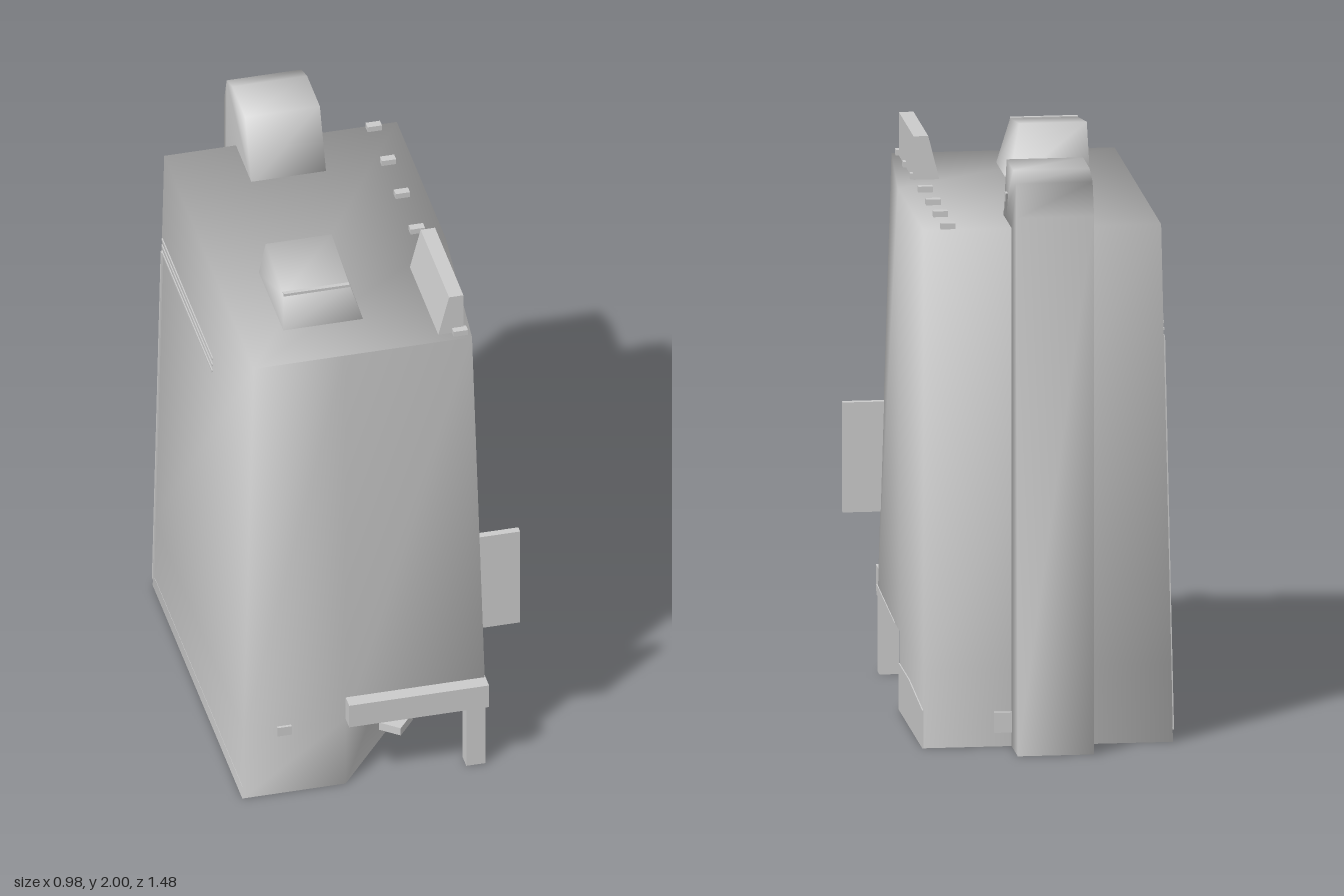
import * as THREE from 'three';
import { mergeVertices, toCreasedNormals } from 'three/addons/utils/BufferGeometryUtils.js';

export function createModel() {
  const group = new THREE.Group();
  const mat = new THREE.MeshStandardMaterial({ color: 0xcccccc });
  const thin = new THREE.MeshStandardMaterial({ color: 0xcccccc, side: THREE.DoubleSide });

  function add(name, geo, material = mat) {
    const mesh = new THREE.Mesh(geo, material);
    mesh.name = name;
    group.add(mesh);
    return mesh;
  }

  // Box given by its extents on each axis
  function box(name, x0, x1, y0, y1, z0, z1) {
    const geo = new THREE.BoxGeometry(x1 - x0, y1 - y0, z1 - z0);
    geo.translate((x0 + x1) / 2, (y0 + y1) / 2, (z0 + z1) / 2);
    return add(name, geo);
  }

  // Shared corners give the soft shading across the edges
  function soften(geo) {
    geo.deleteAttribute('normal');
    geo.deleteAttribute('uv');
    const merged = mergeVertices(geo, 1e-4);
    merged.computeVertexNormals();
    return merged;
  }

  // Skin over rings of [x, y, z] points, bottom to top, capped on top
  function loft(rings) {
    const n = rings[0].length, index = [];
    for (let r = 0; r < rings.length - 1; r++) {
      for (let i = 0; i < n; i++) {
        const j = (i + 1) % n, a = r * n + i, b = r * n + j;
        index.push(a, b, b + n, a, b + n, a + n);
      }
    }
    const top = (rings.length - 1) * n;
    for (let i = 1; i < n - 1; i++) index.push(top, top + i, top + i + 1);
    const geo = new THREE.BufferGeometry();
    geo.setAttribute('position', new THREE.Float32BufferAttribute(rings.flat(2), 3));
    geo.setIndex(index);
    return geo;
  }
  const level = (y, pts) => pts.map(([x, z]) => [x, y, z]);

  // Tapered tank body, its front left lower corner cut off diagonally
  const foot = [[-0.49, 0.69], [-0.13, 0.69], [0.115, 0.38], [0.36, 0.07], [0.36, -0.57], [-0.49, -0.57]];
  const cut = foot.map(([x, z]) => [x === -0.49 ? -0.485 : x, z]);
  const overhang = cut.map((p, i) => (i === 2 ? [0.357, 0.69] : p));
  const roof = [[-0.45, 0.69], [-0.13, 0.69], [0.31, 0.69], [0.36, 0.12], [0.36, -0.57], [-0.45, -0.57]];
  add('body', soften(loft([level(0, foot), level(0.27, cut), level(0.27, overhang), level(1.79, roof)])), thin);

  // Recessed floor inside the bottom rim
  const floor = new THREE.ShapeGeometry(new THREE.Shape(foot.map(([x, z]) => new THREE.Vector2(x, z))));
  floor.rotateX(Math.PI / 2);
  floor.translate(0, 0.05, 0);
  add('floor', floor, thin);

  // Side skirt low on the left wall
  const skirt = new THREE.Shape([[-0.07, 0], [0.57, 0], [0.57, 0.13], [0.2, 0.16], [-0.07, 0.16]]
    .map(([u, v]) => new THREE.Vector2(u, v)));
  const skirtGeo = new THREE.ExtrudeGeometry(skirt, { depth: 0.006, bevelEnabled: false });
  skirtGeo.rotateY(Math.PI / 2);
  skirtGeo.translate(0.358, 0, 0);
  add('sideSkirt', skirtGeo);

  // Back duct rising over the roof as a hood
  const duct = new THREE.Shape([[0.35, 1.78], [0.56, 1.78], [0.56, 0], [0.74, 0], [0.74, 1.86],
    [0.7, 1.97], [0.62, 2], [0.44, 2]].map(([u, v]) => new THREE.Vector2(u, v)));
  const ductGeo = new THREE.ExtrudeGeometry(duct, { depth: 0.26, bevelEnabled: false });
  ductGeo.rotateY(Math.PI / 2);
  ductGeo.translate(-0.2, 0, 0);
  add('backDuct', soften(ductGeo));

  // Small hook on the side of the hood
  const hook = new THREE.Shape([[0.44, 1.81], [0.445, 1.89], [0.48, 1.89]]
    .map(([u, v]) => new THREE.Vector2(u, v)));
  const hookGeo = new THREE.ExtrudeGeometry(hook, { depth: 0.01, bevelEnabled: false });
  hookGeo.rotateY(Math.PI / 2);
  hookGeo.translate(0.058, 0, 0);
  add('hoodHook', hookGeo);

  // Roof vent with a thin lip at its front
  add('roofVent', soften(loft([
    level(1.78, [[-0.3, 0.5], [-0.02, 0.5], [-0.02, 0.15], [-0.3, 0.15]]),
    [[-0.3, 1.94, 0.5], [-0.07, 1.94, 0.5], [-0.07, 1.975, 0.25], [-0.3, 1.975, 0.25]],
  ])));
  box('ventLip', -0.3, -0.07, 1.935, 1.945, 0.49, 0.505);

  // Upright fin on the roof
  add('roofFin', toCreasedNormals(loft([
    level(1.78, [[0.2, 0.65], [0.29, 0.65], [0.29, 0.25], [0.2, 0.25]]),
    level(1.94, [[0.24, 0.65], [0.29, 0.65], [0.29, 0.25], [0.24, 0.25]]),
  ]), 0.5));

  // Row of studs along the roof edge
  for (const z of [-0.55, -0.35, -0.155, 0.055, 0.27, 0.465, 0.66]) {
    box('roofStud', 0.25, 0.3, 1.78, 1.81, z - 0.014, z + 0.014);
  }

  // Plate sticking out sideways, and small knobs front and back
  box('sidePlate', 0.335, 0.48, 0.56, 0.94, 0.655, 0.68);
  box('frontKnob', -0.37, -0.32, 0.245, 0.28, 0.68, 0.7);
  box('backKnob', 0.06, 0.12, 0.05, 0.12, -0.585, -0.56);

  // Bumper over the cut corner, with a tapering side strip
  box('bumper', -0.13, 0.357, 0.27, 0.36, 0.67, 0.74);
  add('bumperStrip', toCreasedNormals(loft([
    level(0.265, [[0.3, 0.7], [0.36, 0.7], [0.362, 0.2], [0.355, 0.2]]),
    [[0.3, 0.3, 0.7], [0.36, 0.3, 0.7], [0.362, 0.272, 0.2], [0.355, 0.272, 0.2]],
  ]), 0.5), thin);

  // Corner post, and a stand inside the cut corner
  box('cornerPost', 0.29, 0.357, 0, 0.28, 0.64, 0.69);
  const turn = Math.atan2(0.62, 0.49);
  const stand = [['standBase', 0.1, 0.03, 0.08, 0.065], ['standRod', 0.08, 0.2, 0.012, 0.175]];
  for (const [name, w, h, d, y] of stand) {
    const mesh = add(name, new THREE.BoxGeometry(w, h, d));
    mesh.position.set(0.1, y, 0.47);
    mesh.rotation.y = name === 'standBase' ? turn : 0;
  }

  // Slats and seam on the right wall, following its lean
  const wallX = (y) => -0.49 + 0.04 * y / 1.79;
  for (const y of [1.4, 1.425, 1.45]) {
    box('wallSlat', wallX(y) - 0.004, wallX(y) + 0.01, y - 0.004, y + 0.004, -0.56, 0.15);
  }
  const seam = add('wallSeam', new THREE.BoxGeometry(0.012, 1.36, 0.012));
  seam.position.set(wallX(0.72), 0.72, -0.555);
  seam.rotation.z = -Math.atan(0.04 / 1.79);

  return group;
}
